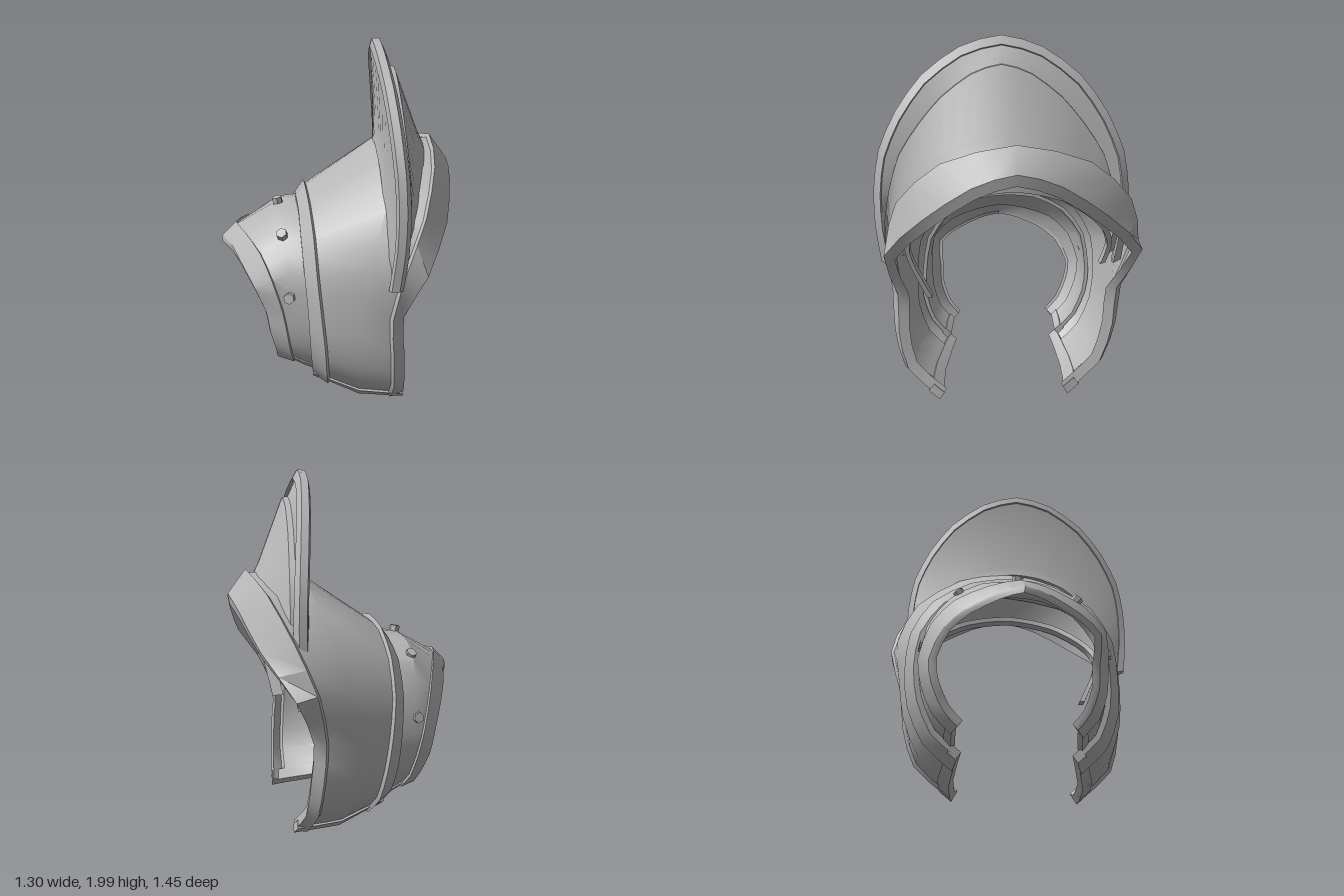
import * as THREE from 'three';
import { toCreasedNormals } from 'three/addons/utils/BufferGeometryUtils.js';

const steel = new THREE.MeshStandardMaterial({ color: 0xb6b6b6 });
steel.name = 'steel';

// Full arch from a half arch [x, y, z] (front foot to crown), mirrored to the back.
// The upper part is shifted in z; the feet lean slightly forward.
function arch(half, shift = 0, skew = 0.07) {
  const back = half.slice(0, -1).reverse().map(([x, y, z]) => [x, y, -z]);
  return [...half, ...back].map(([x, y, z]) =>
    new THREE.Vector3(x + skew * z, y, z + (y > 0.7 ? shift : Math.max(0, 0.6 - y) * 0.05)));
}

// Push an arch outward from the arm axis by d and sideways by dx.
function off(curve, d, dx = 0) {
  return curve.map((p) => {
    const r = Math.hypot(p.y - 0.6, p.z) || 1;
    return new THREE.Vector3(p.x + dx, p.y + ((p.y - 0.6) / r) * d, p.z + (p.z / r) * d);
  });
}

// Solid swept through a closed loop of arches, with capped feet.
function loft(name, rings, u0 = 0, u1 = 1, n = 28) {
  const pos = [], idx = [], N = rings.length, w = n + 1;
  for (const ring of rings) {
    const c = new THREE.CatmullRomCurve3(ring, false, 'catmullrom', 0.35);
    for (let i = 0; i <= n; i++) pos.push(...c.getPoint(u0 + ((u1 - u0) * i) / n).toArray());
  }
  for (let s = 0; s < N; s++) {
    const t = (s + 1) % N;
    for (let i = 0; i < n; i++) {
      const a = s * w + i, b = t * w + i;
      idx.push(a, b, a + 1, b, b + 1, a + 1);
    }
  }
  for (let j = 0; j < N / 2 - 1; j++) {
    const q = [j, j + 1, N - 2 - j, N - 1 - j].map((k) => k * w);
    const e = q.map((k) => k + n);
    idx.push(q[0], q[2], q[1], q[0], q[3], q[2]);
    idx.push(e[0], e[1], e[2], e[0], e[2], e[3]);
  }
  const g = new THREE.BufferGeometry();
  g.setAttribute('position', new THREE.Float32BufferAttribute(pos, 3));
  g.setIndex(idx);
  const mesh = new THREE.Mesh(toCreasedNormals(g, 0.5), steel);
  mesh.name = name;
  return mesh;
}

// Plate of thickness t: outer arches followed by the same arches pushed inward.
const plate = (outer, t) => [...outer, ...outer.slice().reverse().map((c) => off(c, -t))];

export function createModel() {
  const model = new THREE.Group();
  model.name = 'shoulderArmour';

  // Arches of the main shoulder plate, from the arm side to the neck side
  const armEdge = arch([[-.155, .13, .31], [-.17, .25, .445], [-.185, .42, .515], [-.195, .6, .532],
    [-.21, .8, .505], [-.22, .98, .385], [-.22, 1.075, .2], [-.225, 1.11, 0]]);
  const bandEdge = arch([[-.06, .1, .33], [-.08, .23, .475], [-.095, .41, .55], [-.115, .6, .565],
    [-.135, .81, .545], [-.145, 1.0, .435], [-.155, 1.12, .23], [-.16, 1.155, 0]]);
  const middle = arch([[.1, .04, .36], [.09, .2, .53], [.08, .4, .61], [.08, .61, .635],
    [.12, .88, .645], [.2, 1.16, .55], [.25, 1.37, .3], [.26, 1.44, 0]], -.02);
  const flangeFoot = arch([[.265, .025, .36], [.25, .19, .55], [.235, .4, .61], [.225, .61, .625],
    [.285, .88, .675], [.385, 1.13, .61], [.475, 1.34, .38], [.53, 1.435, 0]], -.03);
  const rim = arch([[.355, .015, .355], [.325, .18, .54], [.31, .4, .6], [.3, .61, .61],
    [.405, .86, .695], [.545, 1.08, .48], [.615, 1.25, .23], [.645, 1.32, 0]], -.03);
  const shell = plate([armEdge, off(bandEdge, .022, -.012), bandEdge, middle, flangeFoot,
    off(flangeFoot, .02, .015), rim], .03);
  shell[7] = off(rim, -.06, -.01);
  model.add(loft('shoulderPlate', shell));

  // Arches of the upper arm plate, with a pointed border at the arm
  const tip = arch([[-.36, .25, .29], [-.37, .33, .36], [-.4, .45, .41], [-.42, .57, .42],
    [-.475, .71, .39], [-.535, .79, .28], [-.597, .85, .13], [-.655, .865, 0]], .04);
  const border = arch([[-.26, .235, .33], [-.28, .33, .42], [-.3, .46, .47], [-.325, .6, .485],
    [-.375, .77, .45], [-.435, .88, .33], [-.51, .93, .16], [-.565, .945, 0]], .025);
  const rivetLine = arch([[-.21, .21, .335], [-.23, .32, .44], [-.25, .46, .485], [-.265, .6, .495],
    [-.29, .8, .465], [-.32, .96, .345], [-.335, 1.05, .18], [-.34, 1.07, 0]]);
  const inner = arch([[-.13, .18, .34], [-.13, .3, .445], [-.13, .45, .5], [-.14, .6, .51],
    [-.14, .82, .475], [-.15, .98, .355], [-.15, 1.07, .18], [-.15, 1.09, 0]]);
  model.add(loft('upperArmPlate', plate([tip, off(tip, .018, .005), off(border, .015, -.005),
    border, rivetLine, inner], .022)));

  // Raised hems along the feet of both plates, front and back
  for (const [a, b] of [[0, .024], [.976, 1]]) {
    const main = [armEdge, bandEdge, middle, flangeFoot, rim].map((c) => off(c, .012));
    model.add(loft('shoulderHem', plate(main, .048), a, b, 1));
    const arm = [border, rivetLine, inner].map((c) => off(c, .008));
    model.add(loft('upperArmHem', plate(arm, .036), a, b, 1));
  }

  // Tall neck guard: a rimmed fin thickening towards its base
  const finBase = arch([[.27, .84, .6], [.265, .95, .62], [.265, 1.1, .59], [.26, 1.2, .53],
    [.255, 1.3, .44], [.25, 1.39, .33], [.245, 1.455, .17], [.245, 1.48, 0]], .02, 0);
  const finEdge = arch([[.29, .79, .655], [.31, 1, .68], [.315, 1.2, .68], [.305, 1.4, .65],
    [.285, 1.6, .56], [.26, 1.79, .42], [.235, 1.935, .22], [.225, 1.995, 0]], .04, 0);
  const finStep = arch([[.3, .85, .63], [.32, 1.03, .63], [.33, 1.2, .6], [.325, 1.38, .545],
    [.315, 1.54, .44], [.305, 1.68, .32], [.297, 1.8, .16], [.295, 1.85, 0]], .04, 0);
  const finFoot = arch([[.3, .85, .61], [.33, .98, .63], [.36, 1.12, .6], [.385, 1.23, .53],
    [.41, 1.33, .42], [.435, 1.41, .31], [.455, 1.465, .17], [.465, 1.49, 0]], .02, 0);
  model.add(loft('neckGuard', [off(finBase, -.06, -.02), finBase, off(finEdge, -.045, -.02),
    off(finEdge, -.045, -.035), off(finEdge, 0, -.025), off(finEdge, .003, .015),
    off(finEdge, -.045, .04), off(finEdge, -.05, .022), finStep, off(finStep, -.003, .03),
    finFoot, off(finFoot, -.06, .03)]));

  // Lining strap inside the neck opening
  const strap = arch([[.33, .6, .45], [.36, .78, .53], [.39, .9, .56], [.44, 1, .52],
    [.48, 1.09, .43], [.53, 1.18, .3], [.56, 1.23, .15], [.57, 1.25, 0]]);
  model.add(loft('liningStrap', plate([off(strap, 0, -.07), strap], .03), 0, .93));

  // Hexagonal rivets around the upper arm plate
  const rivetShape = new THREE.CylinderGeometry(.03, .03, .04, 6).toNonIndexed();
  const rivetGeometry = toCreasedNormals(rivetShape, 0.5);
  for (const [x, y, z] of [[-.33, 1.083, .02], [-.295, .985, .345], [-.257, .68, .5],
    [-.34, .99, -.295], [-.33, .68, -.48]]) {
    const rivet = new THREE.Mesh(rivetGeometry, steel);
    rivet.name = 'rivet';
    rivet.position.set(x, y, z);
    const out = new THREE.Vector3(-.1, y - .6, z).normalize();
    rivet.quaternion.setFromUnitVectors(new THREE.Vector3(0, 1, 0), out);
    model.add(rivet);
  }
  return model;
}
